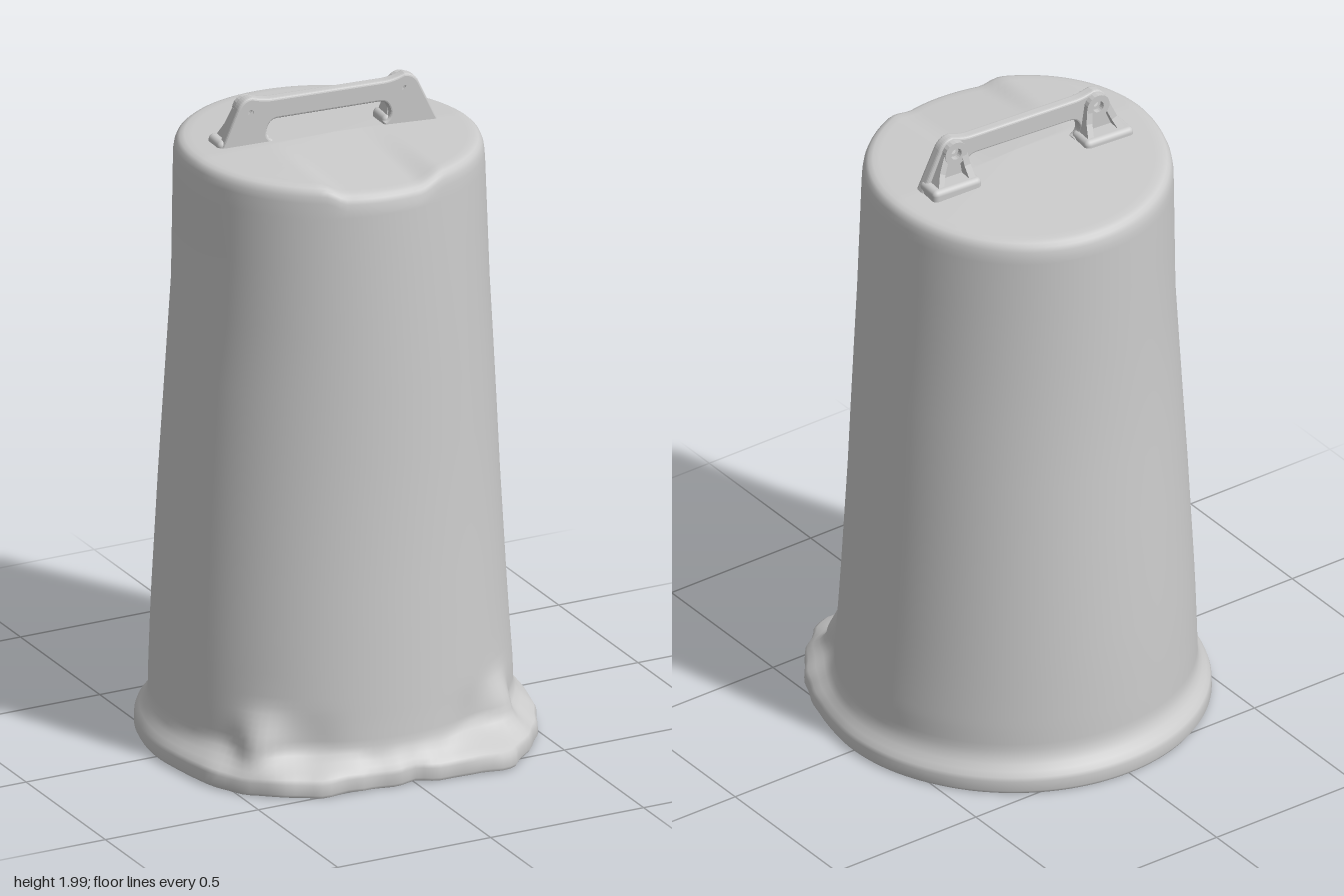
import * as THREE from 'three';
import { RoundedBoxGeometry } from 'three/addons/geometries/RoundedBoxGeometry.js';

const SEG = 144;
const material = new THREE.MeshStandardMaterial({ color: 0xcccccc });
const { smoothstep, lerp, clamp } = THREE.MathUtils;

// Radius of the foot flange every 15 degrees, from +x round the front to -x and the back
const FLANGE = [0.58, 0.58, 0.595, 0.615, 0.63, 0.572, 0.532, 0.538, 0.592, 0.617, 0.616, 0.585,
  0.58, 0.575, 0.575, 0.575, 0.575, 0.575, 0.575, 0.575, 0.575, 0.575, 0.575, 0.578];

// Reach of the body: height, then left (+x), right (-x), front and back
const BODY = [
  [0.1, 0.535, 0.537, 0.495, 0.53], [0.2, 0.533, 0.535, 0.488, 0.528], [0.4, 0.518, 0.528, 0.477, 0.522],
  [0.8, 0.495, 0.506, 0.456, 0.502], [1.1, 0.48, 0.487, 0.447, 0.485], [1.4, 0.462, 0.464, 0.44, 0.48],
  [1.82, 0.447, 0.457, 0.425, 0.477]];

const bell = (x, centre, width) => Math.exp(-(((x - centre) / width) ** 2));

function flangeRadius(a) {
  const t = (a / (Math.PI * 2)) * 24, i = Math.floor(t);
  return lerp(FLANGE[i % 24], FLANGE[(i + 1) % 24], t - i) + 0.022 * bell(a, 1.14, 0.07);
}

function bodyRadii(y) {
  const h = clamp(y, 0.1, 1.82);
  let k = 0;
  while (k < BODY.length - 2 && h > BODY[k + 1][0]) k++;
  const A = BODY[k], B = BODY[k + 1], t = (h - A[0]) / (B[0] - A[0]);
  return [1, 2, 3, 4].map((n) => lerp(A[n], B[n], t));
}

function bodyPoint(a, y, scale = 1) {
  const [l, r, f, b] = bodyRadii(y), c = Math.cos(a), s = Math.sin(a);
  return new THREE.Vector3(c * (c > 0 ? l : r) * scale, y, s * (s > 0 ? f : b) * scale);
}

// Skin through closed rings listed from the bottom up (or from the axis outward underneath)
function loft(rings) {
  const position = [], index = [];
  rings.forEach((ring, i) => {
    for (let j = 0; j < SEG; j++) {
      const p = ring((j / SEG) * Math.PI * 2);
      position.push(p.x, p.y, p.z);
      if (i === rings.length - 1) continue;
      const k = (j + 1) % SEG, a = i * SEG + j, b = i * SEG + k;
      index.push(a, a + SEG, b, b, a + SEG, b + SEG);
    }
  });
  const g = new THREE.BufferGeometry();
  g.setAttribute('position', new THREE.Float32BufferAttribute(position, 3));
  g.setIndex(index);
  g.computeVertexNormals();
  return g;
}

function mesh(name, geometry, parent) {
  const m = new THREE.Mesh(geometry, material);
  m.name = name;
  parent.add(m);
  return m;
}

// Ring of the wall, with two crumpled folds at the front corners
const wallRing = (y) => (a) => {
  const p = bodyPoint(a, y), low = 1 - smoothstep(y, 0.12, 0.27);
  const fold = 0.09 * bell(a, 0.89, 0.12) + 0.11 * bell(a, 2.41, 0.13);
  const dent = bell(a, 1.15, 0.12) + bell(a, 2.1, 0.12);
  const k = 1 + low * (fold - 0.015 * dent);
  p.x *= k;
  p.z *= k;
  return p;
};

// Ring of the foot: mix runs from the wall (0) to the flange edge (1)
const footRing = (y, mix, inset = 0) => (a) => {
  const p = wallRing(y)(a), front = Math.max(0, Math.sin(a));
  const r = flangeRadius(a) + 0.004 * front * Math.sin(a * 31) - inset;
  p.x = lerp(p.x, Math.cos(a) * r, mix);
  p.z = lerp(p.z, Math.sin(a) * r, mix);
  p.y += 0.003 * front * (1 + Math.sin(a * 17));
  return p;
};

// Ring of the lid: it tips down to the left and back, and a shallow panel sinks to the front rim
const lidRing = (y, scale) => (a) => {
  const p = bodyPoint(a, 1.82, scale);
  const panel = smoothstep(p.x, -0.215, -0.15) * (1 - smoothstep(p.x, 0.07, 0.17));
  p.y = y - 0.02 * p.x - 0.026 * panel * clamp(p.z / 0.4, 0, 1) - 0.022 * clamp(-p.z / 0.47, 0, 1);
  return p;
};

function makeHandle() {
  const handle = new THREE.Group();
  handle.name = 'handle';

  // Arched grip standing on two legs, with an eyelet in each ear
  const arch = new THREE.Shape();
  arch.moveTo(-0.35, 1.83);
  arch.lineTo(-0.29, 1.97);
  arch.quadraticCurveTo(-0.275, 2, -0.245, 2);
  arch.quadraticCurveTo(-0.21, 1.988, -0.18, 1.988);
  arch.lineTo(0.17, 1.986);
  arch.quadraticCurveTo(0.2, 1.986, 0.235, 2);
  arch.quadraticCurveTo(0.265, 1.998, 0.28, 1.97);
  arch.lineTo(0.345, 1.83);
  arch.lineTo(0.17, 1.83);
  arch.lineTo(0.17, 1.857);
  arch.quadraticCurveTo(0.19, 1.865, 0.19, 1.885);
  arch.quadraticCurveTo(0.185, 1.923, 0.155, 1.923);
  arch.lineTo(-0.165, 1.923);
  arch.quadraticCurveTo(-0.195, 1.923, -0.2, 1.885);
  arch.quadraticCurveTo(-0.2, 1.865, -0.18, 1.857);
  arch.lineTo(-0.18, 1.83);
  arch.closePath();
  for (const x of [-0.25, 0.235]) {
    arch.holes.push(new THREE.Path().absarc(x, 1.955, 0.016, 0, Math.PI * 2, true));
  }
  const archGeometry = new THREE.ExtrudeGeometry(arch, {
    depth: 0.018, bevelSize: 0.007, bevelOffset: -0.007, bevelThickness: 0.009, bevelSegments: 3, curveSegments: 8 });
  archGeometry.translate(0, 0, -0.009);
  mesh('gripArch', archGeometry, handle);

  // Braces behind each end: two sloping ribs, a foot pad and an eyelet collar
  for (const x of [-0.25, 0.235]) {
    const side = Math.sign(x);
    const brace = new THREE.Group();
    brace.name = side > 0 ? 'leftBrace' : 'rightBrace';
    handle.add(brace);

    const rib = new THREE.Shape([[0, 1.83], [0.072, 1.83], [0.066, 1.86], [0.042, 1.91],
      [0.032, 1.965], [0, 1.965]].map(([u, v]) => new THREE.Vector2(u, v)));
    for (const [dx, lean] of [[side * 0.078, side * 0.4], [-side * 0.045, -side * 0.15]]) {
      const g = new THREE.ExtrudeGeometry(rib, { depth: 0.02, bevelEnabled: false });
      g.translate(0, -1.84, -0.01);
      g.rotateY(Math.PI / 2);
      const m = mesh('rib', g, brace);
      m.position.set(x + dx, 1.84, 0);
      m.rotation.z = lean;
    }
    const pad = mesh('footPad', new RoundedBoxGeometry(0.165, 0.05, 0.09, 3, 0.016), brace);
    pad.position.set(x + side * 0.017, 1.848, -0.032);

    const collar = new THREE.Shape().absarc(0, 0, 0.038, 0, Math.PI * 2, false);
    collar.holes.push(new THREE.Path().absarc(0, 0, 0.018, 0, Math.PI * 2, true));
    const c = mesh('eyeletCollar', new THREE.ExtrudeGeometry(collar, {
      depth: 0.025, bevelEnabled: false, curveSegments: 10 }), brace);
    c.position.set(x, 1.955, -0.036);
  }
  handle.position.z = -0.025;
  handle.rotation.y = -0.075;
  return handle;
}

export function createModel() {
  const model = new THREE.Group();

  // Tapered body with a flared foot and a softly rounded lid
  const foot = [[0.018, 1], [0.048, 0.98], [0.06, 0.88], [0.074, 0.62], [0.09, 0.33], [0.108, 0.1]];
  const walls = [0.13, 0.15, 0.17, 0.19, 0.21, 0.23, 0.25, 0.28, 0.35, 0.45, 0.6, 0.8, 1.0, 1.2, 1.4, 1.6, 1.76];
  const lid = [[1.802, 1], [1.822, 0.993], [1.836, 0.98], [1.844, 0.96], [1.849, 0.93]];
  for (let s = 0.88; s > 0.04; s -= 0.05) lid.push([1.857 - 0.009 * s, s]);
  lid.push([1.857, 0]);
  const rim = footRing(0.008, 1, 0.006);
  mesh('body', loft([
    rim, ...foot.map(([y, mix]) => footRing(y, mix)),
    ...walls.map(wallRing), ...lid.map(([y, s]) => lidRing(y, s))]), model);

  // Flat underside
  const inner = (a) => rim(a).multiplyScalar(0.96).setY(0.009);
  mesh('underside', loft([() => new THREE.Vector3(0, 0.009, 0), inner, rim]), model);

  model.add(makeHandle());
  return model;
}
